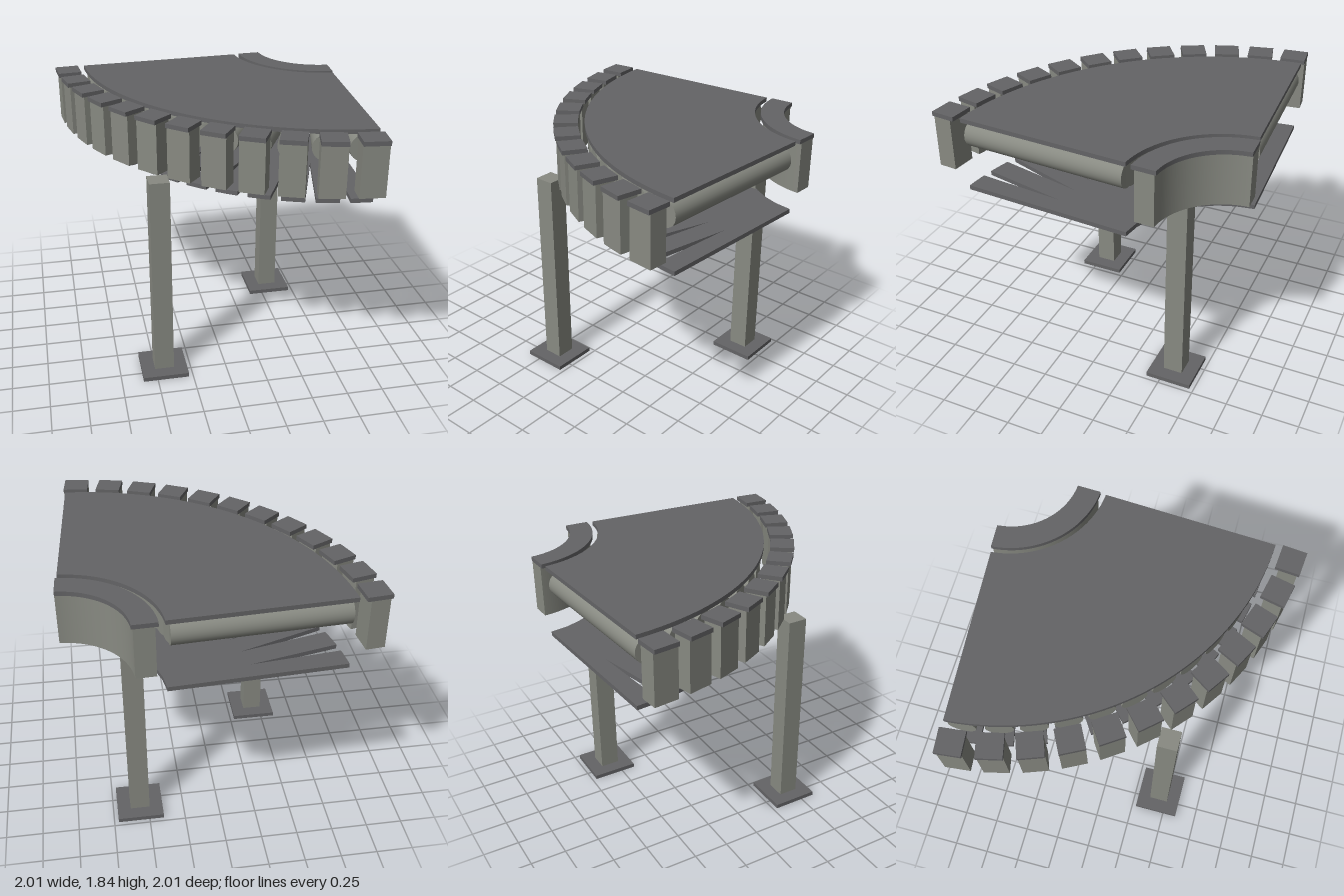
import * as THREE from 'three';

const C = 1.02;                       // the bend turns about (C, -C)
const rad = THREE.MathUtils.degToRad;
const A0 = rad(3.7), A1 = rad(86.3);  // start and end of the bend

export function createModel() {
  const model = new THREE.Group();
  const dark = new THREE.MeshStandardMaterial({ name: 'dark grey', color: 0x646466 });
  const light = new THREE.MeshStandardMaterial({ name: 'light grey', color: 0x888a82 });

  const add = (parent, name, geometry, material, x = 0, y = 0, z = 0) => {
    const mesh = new THREE.Mesh(geometry, material);
    mesh.name = name;
    mesh.position.set(x, y, z);
    parent.add(mesh);
    return mesh;
  };

  // Group whose local +x runs outward from the bend centre at angle a
  const spoke = (name, a) => {
    const group = new THREE.Group();
    group.name = name;
    group.position.set(C, 0, -C);
    group.rotation.y = Math.PI + a;
    model.add(group);
    return group;
  };

  // Flat ring sector between two radii, with optional wedge slits cut from its outer edge
  const sector = (r0, r1, a0, a1, y0, y1, slits = [], slitStart = 0, slitHalf = 0) => {
    const shape = new THREE.Shape();
    const at = (r, a) => [C - r * Math.cos(a), C - r * Math.sin(a)];
    shape.moveTo(...at(r0, a0));
    let a = a0;
    for (const s of slits) {
      shape.absarc(C, C, r1, Math.PI + a, Math.PI + s - slitHalf, false);
      shape.lineTo(...at(slitStart, s));
      a = s + slitHalf;
    }
    shape.absarc(C, C, r1, Math.PI + a, Math.PI + a1, false);
    shape.absarc(C, C, r0, Math.PI + a1, Math.PI + a0, true);
    const g = new THREE.ExtrudeGeometry(shape, {
      depth: y1 - y0, bevelEnabled: false, curveSegments: slits.length ? 4 : 32,
    });
    return g.rotateX(-Math.PI / 2).translate(0, y0, 0);
  };

  // Belt
  add(model, 'belt', sector(0.65, 1.82, A0, A1, 1.81, 1.84), dark);

  // Outer guard blocks with caps
  const count = 12, first = rad(5.9), step = rad(78.2) / (count - 1);
  const blockGeo = new THREE.BoxGeometry(0.125, 0.35, 0.168);
  const capGeo = new THREE.BoxGeometry(0.165, 0.03, 0.17);
  const slits = [];
  for (let i = 0; i < count; i++) {
    const a = first + i * step;
    const g = spoke('outerGuardBlock', a);
    add(g, 'blockBody', blockGeo, light, 1.952, 1.635);
    add(g, 'blockCap', capGeo, dark, 1.947, 1.825);
    if (i < count - 1) slits.push(a + step / 2);
  }

  // Slotted tray under the belt
  add(model, 'tray', sector(0.65, 1.8, A0, A1, 1.33, 1.36, slits, 1.2, 0.019), dark);

  // Inner guard rail with cap
  const e0 = rad(2.8), e1 = rad(87.2);
  add(model, 'innerRailBody', sector(0.46, 0.59, e0, e1, 1.46, 1.81), light);
  add(model, 'innerRailCap', sector(0.45, 0.61, e0, e1, 1.81, 1.84), dark);

  // Rollers: the end ones lie along the belt edges, the rest fan out between
  const rollerGeo = new THREE.CylinderGeometry(0.09, 0.09, 1.12, 32).rotateZ(Math.PI / 2);
  add(spoke('endRoller', A0), 'roller', rollerGeo, light, 1.24, 1.71, -0.09);
  add(spoke('endRoller', A1), 'roller', rollerGeo, light, 1.24, 1.71, 0.09);
  for (let i = 0; i < 10; i++) {
    add(spoke('innerRoller', rad(14 + i * 62 / 9)), 'roller', rollerGeo, light, 1.24, 1.71);
  }

  // Posts on square feet
  for (const [x, z] of [[-0.44, 0.44], [0.56, -0.56]]) {
    add(model, 'post', new THREE.BoxGeometry(0.135, 1.43, 0.135), light, x, 0.745, z);
    add(model, 'foot', new THREE.BoxGeometry(0.32, 0.03, 0.32), dark, x, 0.015, z);
  }
  return model;
}
